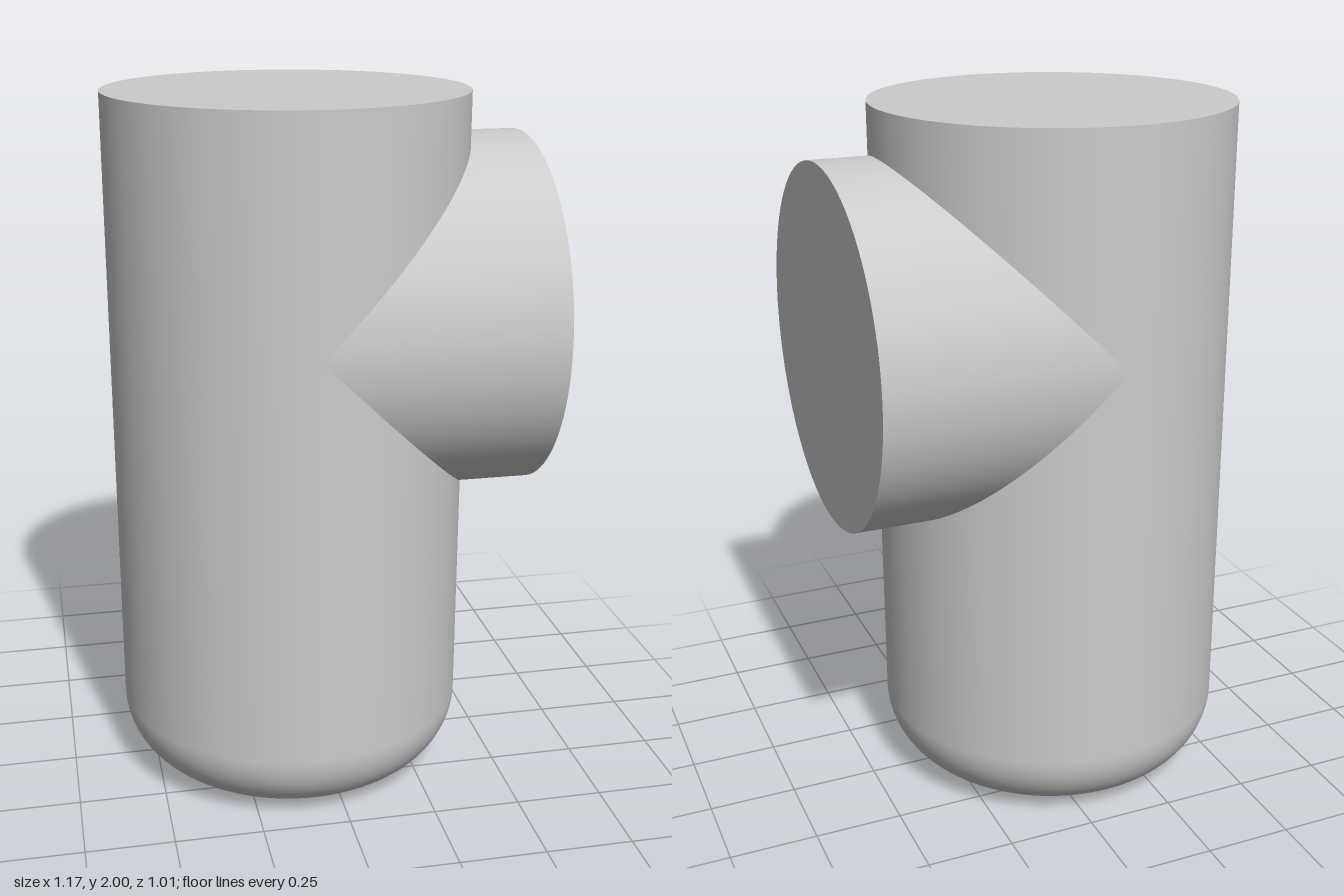
import * as THREE from 'three';

const R = 0.505;       // radius of both pipes
const FILLET = 0.21;   // rounded lower edge
const HEIGHT = 2;
const AXIS_X = -0.083; // vertical pipe axis
const BRANCH_Y = 1.365;
const BRANCH_LENGTH = 0.67;
const SEGMENTS = 96;

const material = new THREE.MeshStandardMaterial({ color: 0xcccccc });

function part(name, geometry) {
  const mesh = new THREE.Mesh(geometry, material);
  mesh.name = name;
  return mesh;
}

// Move each vertex by a rule
function reshape(geometry, rule) {
  const pos = geometry.attributes.position;
  const v = new THREE.Vector3();
  for (let i = 0; i < pos.count; i++) {
    rule(v.fromBufferAttribute(pos, i));
    pos.setXYZ(i, v.x, v.y, v.z);
  }
  return geometry;
}

export function createModel() {
  const model = new THREE.Group();
  model.name = 'teePipe';
  const body = new THREE.Group();
  body.name = 'body';
  body.position.x = AXIS_X;
  model.add(body);

  // Lower body: flat base, rounded edge, wall trimmed along the branch seam
  const profile = [new THREE.Vector2(0, 0)];
  for (let i = 0; i <= 16; i++) {
    const a = (i / 16) * Math.PI / 2;
    profile.push(new THREE.Vector2(
      R - FILLET + FILLET * Math.sin(a), FILLET - FILLET * Math.cos(a)));
  }
  profile.push(new THREE.Vector2(R, BRANCH_Y));
  body.add(part('lowerBody', reshape(new THREE.LatheGeometry(profile, SEGMENTS), (v) => {
    if (v.y > FILLET + 0.01) v.y -= Math.max(0, v.x);
  })));

  // Upper wall, trimmed along the branch seam
  const upper = [new THREE.Vector2(R, BRANCH_Y), new THREE.Vector2(R, HEIGHT)];
  body.add(part('upperBody', reshape(new THREE.LatheGeometry(upper, SEGMENTS), (v) => {
    if (v.y < HEIGHT - 0.01) v.y += Math.max(0, v.x);
  })));

  // Flat top
  const top = part('topCap', new THREE.CircleGeometry(R, SEGMENTS).rotateX(-Math.PI / 2));
  top.position.y = HEIGHT;
  body.add(top);

  // Side branch of equal radius: its inner end follows the mitred seam
  const branch = new THREE.Group();
  branch.name = 'branch';
  branch.position.y = BRANCH_Y;
  const tube = new THREE.CylinderGeometry(R, R, BRANCH_LENGTH, SEGMENTS, 1, true)
    .rotateZ(-Math.PI / 2).translate(BRANCH_LENGTH / 2, 0, 0);
  branch.add(part('branchWall', reshape(tube, (v) => {
    if (v.x < 0.01) v.x = Math.abs(v.y);
  })));
  const end = part('branchCap', new THREE.CircleGeometry(R, SEGMENTS).rotateY(Math.PI / 2));
  end.position.x = BRANCH_LENGTH;
  branch.add(end);
  body.add(branch);

  return model;
}
